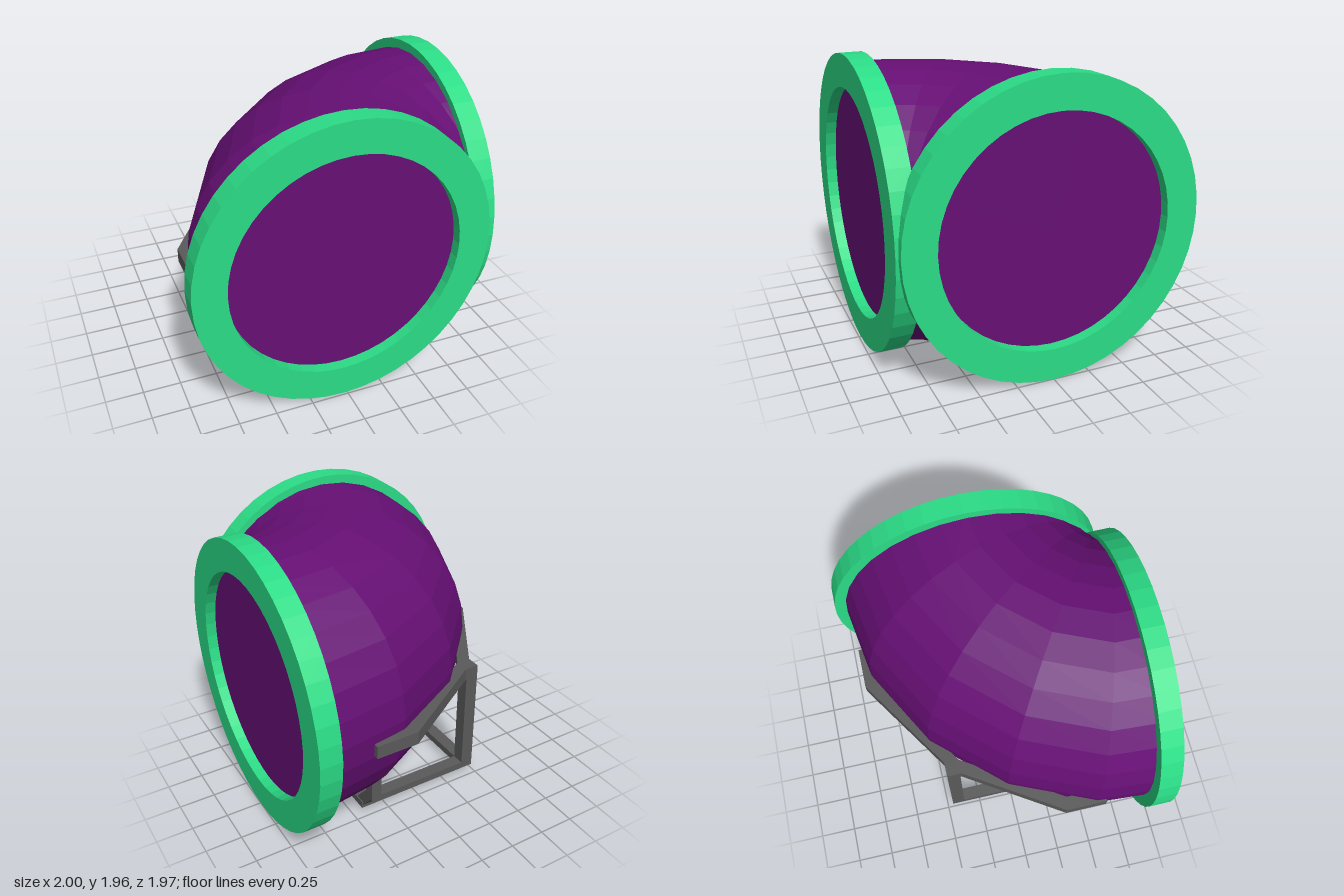
import * as THREE from 'three';

const purple = new THREE.MeshStandardMaterial({ color: 0x660f74, flatShading: true });
const green = new THREE.MeshStandardMaterial({ color: 0x2bdc86, flatShading: true });
const grey = new THREE.MeshStandardMaterial({ color: 0x5a5a5a, flatShading: true });

const MID = 0.982; // height of the pipe axis

function add(parent, name, geometry, material) {
  const mesh = new THREE.Mesh(geometry, material);
  mesh.name = name;
  parent.add(mesh);
  return mesh;
}

// Square bar between two points
function bar(parent, name, a, b, size) {
  const p = new THREE.Vector3(...a), q = new THREE.Vector3(...b);
  const mesh = add(parent, name, new THREE.BoxGeometry(size, size, p.distanceTo(q)), grey);
  mesh.position.copy(p).add(q).multiplyScalar(0.5);
  mesh.lookAt(q);
  return mesh;
}

// Elbow: circular cross-sections swept in a quarter turn
function elbowGeometry() {
  const r = 0.922, bend = 0.981, cx = 0.955, cz = 0.97, sides = 32;
  const sections = [{ x: 0.005, z: 0.9, a: 0 }];
  for (const deg of [14.4, 33, 52, 71]) {
    const a = THREE.MathUtils.degToRad(deg);
    sections.push({ x: cx - bend * Math.cos(a), z: cz - bend * Math.sin(a), a });
  }
  sections.push({ x: 0.91, z: 0.005, a: Math.PI / 2 });

  const pos = [], index = [];
  sections.forEach((s, i) => {
    for (let j = 0; j < sides; j++) {
      const t = (j / sides) * Math.PI * 2, out = r * Math.cos(t);
      pos.push(s.x - out * Math.cos(s.a), MID + r * Math.sin(t), s.z - out * Math.sin(s.a));
      if (i === sections.length - 1) continue;
      const k = (j + 1) % sides, a = i * sides + j, b = i * sides + k;
      index.push(a, b, b + sides, a, b + sides, a + sides);
    }
  });
  const g = new THREE.BufferGeometry();
  g.setAttribute('position', new THREE.Float32BufferAttribute(pos, 3));
  g.setIndex(index);
  g.computeVertexNormals();
  return g;
}

// Flange ring with a recessed disc, facing +z
function opening(name) {
  const group = new THREE.Group();
  group.name = name;
  const depth = 0.147, ri = 0.762, ro = 0.978;
  const profile = [[ri, 0], [ro, 0], [ro, depth], [ri, depth], [ri, 0]]
    .map(([x, y]) => new THREE.Vector2(x, y));
  add(group, 'flange', new THREE.LatheGeometry(profile, 48).rotateX(Math.PI / 2), green);
  add(group, 'endDisc', new THREE.CircleGeometry(0.8, 48), purple).position.z = 0.075;
  return group;
}

export function createModel() {
  const model = new THREE.Group();
  model.name = 'pipeElbow';

  add(model, 'elbowPipe', elbowGeometry(), purple);

  const front = opening('frontOpening');
  front.position.set(-0.022, MID, 0.839);
  const side = opening('leftOpening');
  side.rotation.y = Math.PI / 2;
  side.position.set(0.853, MID, -0.01);
  model.add(front, side);

  // Support frame
  const frame = new THREE.Group();
  frame.name = 'supportFrame';
  model.add(frame);

  // Square base with one tall corner post
  const x0 = -0.49, x1 = 0.44, z0 = -0.46, z1 = 0.475, w = 0.09;
  const box = (name, xa, xb, ya, yb, za, zb) =>
    add(frame, name, new THREE.BoxGeometry(xb - xa, yb - ya, zb - za), grey)
      .position.set((xa + xb) / 2, (ya + yb) / 2, (za + zb) / 2);
  box('baseBarBack', x0, x1, 0.05, 0.1, z0, z0 + w);
  box('baseBarFront', x0, x1, 0.05, 0.1, z1 - w, z1);
  box('baseBarRight', x0, x0 + w, 0.05, 0.1, z0 + w, z1 - w);
  box('baseBarLeft', x1 - w, x1, 0.05, 0.1, z0 + w, z1 - w);
  box('cornerPost', x0, x0 + w, 0.1, 0.91, z0, z0 + w);

  // Bent rail hugging the outside of the elbow (plan outline, extruded upward)
  const plan = [[0.57, -0.89], [0.28, -0.89], [-0.39, -0.46], [-0.49, -0.46], [-0.49, -0.36],
    [-0.9, 0.28], [-0.9, 0.56], [-0.81, 0.56], [-0.81, 0.3], [-0.39, -0.36], [0.31, -0.8], [0.57, -0.8]];
  const outline = new THREE.Shape(plan.map(([x, z]) => new THREE.Vector2(x, -z)));
  const rail = new THREE.ExtrudeGeometry(outline, { depth: 0.09, bevelEnabled: false });
  add(frame, 'outerRail', rail.rotateX(-Math.PI / 2), grey).position.y = 0.82;

  // Short cranked arms from two base corners up to the pipe
  const arms = [
    { name: 'backArm', x: 0.395, z: -0.415, dx: 0, dz: -1 },
    { name: 'rightArm', x: -0.445, z: 0.43, dx: -1, dz: 0 },
  ];
  for (const { name, x, z, dx, dz } of arms) {
    const reach = 0.13, ex = x + dx * reach, ez = z + dz * reach;
    bar(frame, name + 'Slope', [x, 0.08, z], [ex, 0.23, ez], 0.075);
    box(name + 'Tip', ex - 0.038, ex + 0.038, 0.2, 0.36, ez - 0.038, ez + 0.038);
  }
  return model;
}
